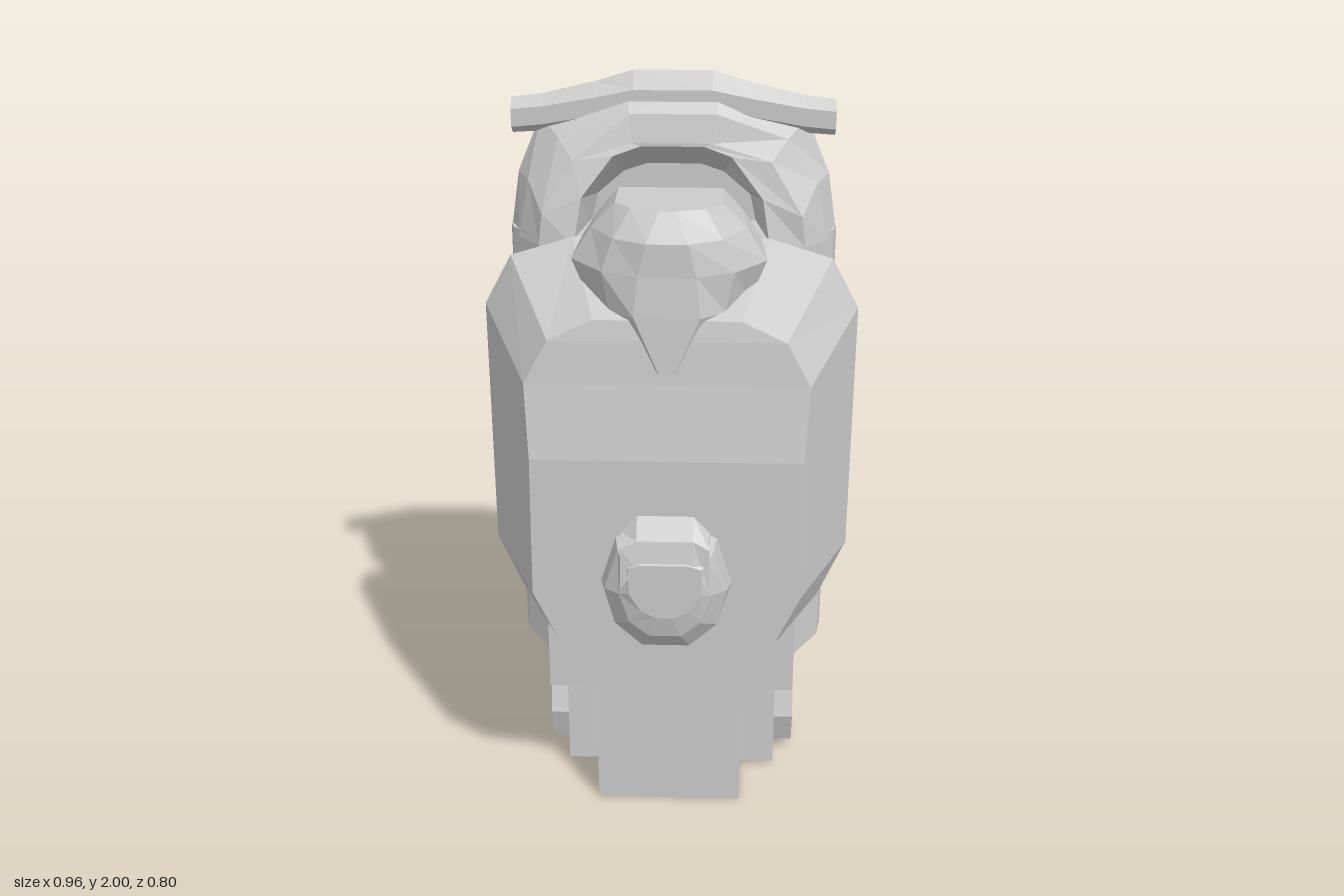
import * as THREE from 'three';

const material = new THREE.MeshStandardMaterial({ color: 0xcccccc, flatShading: true });

// Closed faceted solid through equal-length loops of [x, y, z] points, with strip caps
function loft(loops) {
  const tris = [];
  const tri = (a, b, c) => tris.push([a, b, c]);
  const n = loops[0].length;
  for (let k = 0; k < loops.length - 1; k++) {
    for (let i = 0; i < n; i++) {
      const j = (i + 1) % n;
      const [a, b, c, d] = [loops[k][i], loops[k][j], loops[k + 1][j], loops[k + 1][i]];
      tri(a, b, c);
      tri(a, c, d);
    }
  }
  const cap = (l, flip) => {
    for (let i = 0; i < Math.floor((n - 1) / 2); i++) {
      const q = [l[i], l[i + 1], l[n - 2 - i], l[n - 1 - i]];
      if (flip) q.reverse();
      tri(q[0], q[1], q[2]);
      tri(q[0], q[2], q[3]);
    }
  };
  cap(loops[0], true);
  cap(loops[loops.length - 1], false);
  // Turn all faces outward
  let volume = 0;
  const [a, b, c] = [new THREE.Vector3(), new THREE.Vector3(), new THREE.Vector3()];
  for (const t of tris) volume += a.set(...t[0]).dot(b.set(...t[1]).cross(c.set(...t[2])));
  if (volume < 0) tris.forEach((t) => t.reverse());
  const g = new THREE.BufferGeometry();
  g.setAttribute('position', new THREE.Float32BufferAttribute(tris.flat(2), 3));
  g.computeVertexNormals();
  return g;
}

// Complete a half loop with its mirror image across x = 0
const mirror = (half) => [...half, ...half.slice().reverse().map(([x, y, z]) => [-x, y, z])];
const atY = (y, pts) => mirror(pts.map(([x, z]) => [x, y, z]));
const atZ = (z, pts) => mirror(pts.map(([x, y]) => [x, y, z]));
const atX = (x, pts) => pts.map(([z, y]) => [x, y, z]);

export function createModel() {
  const model = new THREE.Group();
  const add = (name, geometry, x = 0, y = 0, z = 0) => {
    const mesh = new THREE.Mesh(geometry, material);
    mesh.name = name;
    mesh.position.set(x, y, z);
    model.add(mesh);
  };

  // Tall rear shell with a sloped foot
  add('rearShell', loft([
    mirror([[0.2, 0.2, -0.3], [0.3, 0.2, -0.28], [0.3, 0.13, -0.19], [0.3, 0.07, -0.11], [0.3, 0.01, -0.04]]),
    mirror([[0.2, 0.41, -0.4], [0.3, 0.4, -0.335], [0.31, 0.39, -0.2], [0.31, 0.37, -0.16], [0.3, 0.34, -0.045]]),
    mirror([[0.2, 0.42, -0.4], [0.31, 0.42, -0.34], [0.43, 0.4, -0.2], [0.42, 0.38, -0.16], [0.34, 0.35, -0.075]]),
    atY(1.6, [[0.2, -0.4], [0.31, -0.34], [0.425, -0.2], [0.415, -0.16], [0.34, -0.075]]),
  ]));

  // Arched hood: outer skin, front rim, then the hollow behind the rim
  add('hood', loft([
    atZ(-0.4, [[0.2, 1.58], [0.2, 1.68], [0.19, 1.755], [0.08, 1.765]]),
    atZ(-0.34, [[0.31, 1.58], [0.31, 1.73], [0.25, 1.83], [0.1, 1.86]]),
    atZ(-0.2, [[0.425, 1.58], [0.4, 1.74], [0.34, 1.88], [0.12, 1.98]]),
    atZ(-0.14, [[0.4, 1.58], [0.37, 1.73], [0.29, 1.84], [0.11, 1.9]]),
    mirror([[0.34, 1.58, -0.07], [0.33, 1.66, -0.07], [0.25, 1.79, -0.1], [0.1, 1.83, -0.125]]),
    mirror([[0.25, 1.58, -0.06], [0.23, 1.7, -0.08], [0.15, 1.8, -0.11], [0.08, 1.822, -0.125]]),
    atZ(-0.24, [[0.22, 1.58], [0.2, 1.67], [0.13, 1.73], [0.07, 1.75]]),
  ]));

  // Cross bar over the hood, its middle higher and sweeping back into the hood
  const barSections = [[0.41, 1.84, 1.93, -0.225], [0.33, 1.845, 1.94, -0.25], [0.2, 1.86, 1.97, -0.29], [0.1, 1.87, 2, -0.3]];
  const bar = ([x, low, high, rear]) => {
    const mid = (low + high) / 2;
    return atX(x, [[-0.19, high], [rear, mid + 0.015], [rear + 0.005, mid - 0.025],
      [-0.19, low], [-0.16, mid - 0.025], [-0.16, mid + 0.02]]);
  };
  add('crossBar', loft([
    ...barSections.map(bar),
    ...barSections.slice().reverse().map(([x, ...rest]) => bar([-x, ...rest])),
  ]));

  // Thin plate between shell and pouch
  add('backPlate', new THREE.BoxGeometry(0.7, 1.3, 0.036), 0, 0.91, -0.058);

  // Large tapered front pouch with cut corners
  add('frontPouch', loft([
    atZ(-0.045, [[0.2, 0.53], [0.41, 0.585], [0.48, 0.75], [0.48, 1.14], [0.48, 1.43], [0.41, 1.56], [0.25, 1.61]]),
    mirror([[0.2, 0.6, 0.285], [0.28, 0.62, 0.285], [0.345, 0.76, 0.285], [0.34, 1.14, 0.285],
      [0.35, 1.33, 0.255], [0.29, 1.44, 0.245], [0.18, 1.49, 0.235]]),
  ]));

  // Rounded bulge rising out of the pouch, pointed at its lower front
  add('upperBulge', loft([
    atY(1.36, [[0.12, -0.05], [0.1, 0.1], [0.06, 0.2], [0.02, 0.255]]),
    atY(1.5, [[0.21, -0.09], [0.2, 0.1], [0.14, 0.2], [0.08, 0.247]]),
    atY(1.6, [[0.23, -0.09], [0.24, 0.1], [0.16, 0.2], [0.07, 0.238]]),
    atY(1.68, [[0.18, -0.06], [0.19, 0.1], [0.13, 0.195], [0.05, 0.237]]),
    atY(1.745, [[0.13, -0.025], [0.13, 0.11], [0.09, 0.16], [0.02, 0.185]]),
  ]));

  // Faceted knob on the front face and its peaked cap
  add('knob', loft([
    atZ(0.27, [[0.06, 0.64], [0.14, 0.7], [0.17, 0.8], [0.13, 0.93], [0.07, 0.95]]),
    atZ(0.34, [[0.06, 0.645], [0.13, 0.71], [0.155, 0.81], [0.12, 0.92], [0.07, 0.95]]),
    atZ(0.385, [[0.04, 0.7], [0.09, 0.74], [0.115, 0.82], [0.105, 0.91], [0.07, 0.93]]),
    atZ(0.4, [[0.02, 0.76], [0.06, 0.78], [0.09, 0.83], [0.09, 0.9], [0.06, 0.91]]),
  ]));
  const capSide = [[0.31, 0.83], [0.31, 0.94], [0.345, 0.975], [0.39, 0.95], [0.4, 0.84]];
  const capPeak = [[0.31, 0.83], [0.31, 0.96], [0.345, 1.02], [0.385, 0.97], [0.4, 0.9]];
  add('knobCap', loft([atX(-0.11, capSide), atX(-0.07, capPeak), atX(0.07, capPeak), atX(0.11, capSide)]));

  // Lower front block
  add('lowerBlock', new THREE.BoxGeometry(0.4, 0.62, 0.17), 0, 0.31, 0.045);

  // Uneven seven-sided wheels at the foot and wedge tabs on the rear top corners
  const wheel = [[-0.08, 0.14], [-0.12, 0.27], [-0.2, 0.29], [-0.32, 0.19], [-0.3, 0.09], [-0.23, 0.01], [-0.11, 0.04]];
  const wedge = [[0.2, -0.34], [0.2, -0.4], [0.345, -0.325], [0.345, -0.3]];
  for (const [word, side] of [['left', 1], ['right', -1]]) {
    add(word + 'Wheel', loft([0.29, 0.355].map((x) => atX(side * x, wheel))));
    add(word + 'RearTab', loft([1.65, 1.74].map((y) => wedge.map(([x, z]) => [side * x, y, z]))));
  }

  return model;
}
